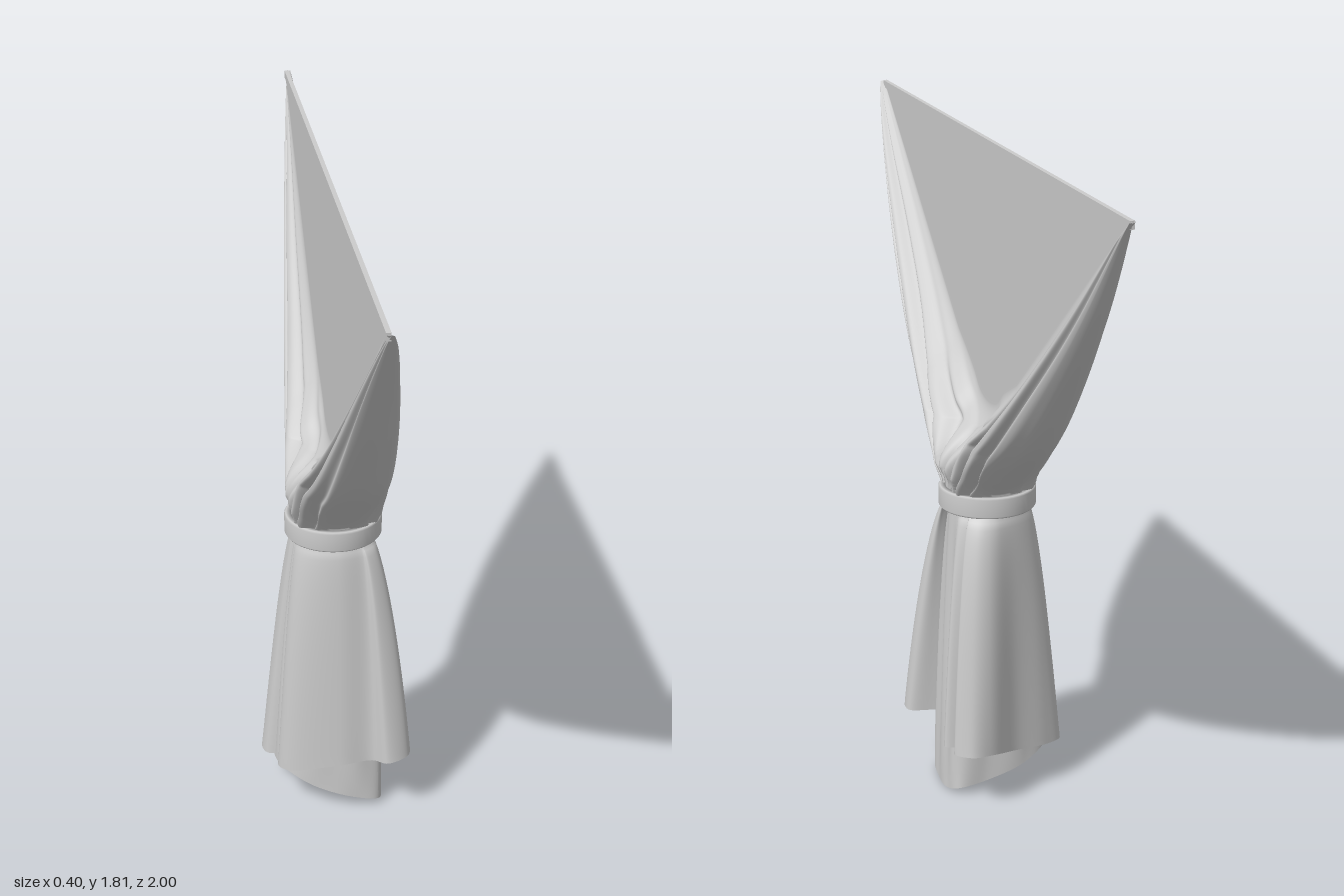
import * as THREE from 'three';

const V = (x, y, z) => new THREE.Vector3(x, y, z);
const { lerp, smoothstep, clamp } = THREE.MathUtils;
const cloth = new THREE.MeshStandardMaterial({ color: 0xcccccc, side: THREE.DoubleSide });
const TOP = 1.81;

// Smooth sheet from a grid: point(u, v) gives the position at column u, row v
function sheet(name, cols, rows, point) {
  const pos = [], index = [];
  for (let i = 0; i <= cols; i++) {
    for (let j = 0; j <= rows; j++) {
      pos.push(...point(i / cols, j / rows));
      if (i < cols && j < rows) {
        const a = i * (rows + 1) + j, b = a + rows + 1;
        index.push(a, b, a + 1, b, b + 1, a + 1);
      }
    }
  }
  const geo = new THREE.BufferGeometry();
  geo.setAttribute('position', new THREE.Float32BufferAttribute(pos, 3));
  geo.setIndex(index);
  geo.computeVertexNormals();
  const mesh = new THREE.Mesh(geo, cloth);
  mesh.name = name;
  return mesh;
}

// Upper curtain: flat panel in the middle, gathered folds along the swept lower edge
function upperCurtain() {
  const edge = new THREE.CatmullRomCurve3([
    [-1, 1.805], [-0.8, 1.525], [-0.6, 1.29], [-0.4, 1.09], [-0.2, 0.945], [-0.125, 0.89], [-0.07, 0.83], [0, 0.81],
    [0.07, 0.83], [0.125, 0.89], [0.2, 0.955], [0.4, 1.115], [0.6, 1.325], [0.8, 1.56], [1, 1.805],
  ].map(([z, y]) => V(0, y, z)));
  const outline = edge.getPoints(400);
  const arms = [outline.slice(0, 201).reverse(), outline.slice(200)];
  // half width of the outline at height y, on the side of z
  function halfWidth(y, z) {
    const arm = arms[z < 0 ? 0 : 1];
    const i = arm.findIndex(p => p.y > y);
    if (i < 1) return i < 0 ? 1 : 0.01;
    const a = arm[i - 1], b = arm[i];
    return Math.abs(lerp(a.z, b.z, (y - a.y) / (b.y - a.y)));
  }

  return sheet('gatheredCurtain', 180, 220, (u, v) => {
    const p = edge.getPoint(u), z = p.z, az = Math.abs(z), H = TOP - p.y;
    const k = v * 2 - 1, side = Math.sign(k), r = Math.abs(k);
    // folds fill the band between the outline and a straight V, the panel is above
    const w = clamp(1.04 + 0.78 * az - p.y, 0.3 * H, 0.6 * H);
    const q = r < 0.85 ? (r / 0.85) ** 1.4 : 1;
    const y = p.y + (r < 0.85 ? q * w : w + (H - w) * (r - 0.85) / 0.15);
    const T = 0.125 * Math.max(0, 1 - az) ** 0.82 * (side > 0 && z > 0 ? 1 + 0.5 * z : 1);
    const rise = Math.sqrt(1 - (1 - Math.min(1, q / 0.3)) ** 2);
    const fall = 1 - smoothstep(q, 0.4, 1);
    // pleats sweep along the edge and turn down into the tie
    const inner = Math.max(0, (y - 1.04) / 0.78), outer = halfWidth(y, z);
    const s = clamp((outer - az) / Math.max(0.01, outer - inner), 0, 1);
    const phase = s * 4 + 0.12 * Math.sin(z * 6 + side) * Math.min(1, az * 5) + (side > 0 ? 0 : 0.4);
    const calm = 1 - 0.8 * smoothstep(s, 0.6, 0.85) * smoothstep(az, 0.1, 0.3);
    const pleat = 1 - 0.3 * Math.cos(Math.PI * phase) ** 4 * Math.min(1, s * 6) * calm;
    // the gather is squeezed inside the tie
    const squeeze = lerp(0.108, 0.135, smoothstep(y, 0.88, 0.97));
    const x = Math.min(squeeze, T * rise * fall * pleat);
    const zz = y < 0.885 ? clamp(z, -0.11, 0.11) : z;
    return [-0.008 * (1 - fall) + side * (0.004 * Math.min(1, q * 8) + x), y, zz];
  });
}

// Hanging cloth: flares from the tie down to a hem given by [x, z, y] points
function tail(name, hem, closed, neck, ripple) {
  const curve = new THREE.CatmullRomCurve3(hem.map(([x, z, y]) => V(x, y, z)), closed, 'centripetal');
  return sheet(name, 160, 40, (u, t) => {
    const b = curve.getPoint(u), angle = Math.atan2(b.z, b.x), R = Math.hypot(b.x, b.z);
    const top = neck * (0.8 + 0.2 * Math.min(1, R / 0.18));
    // stays narrow inside the tie, then flares; front and back folds flare sooner
    const drop = Math.max(0, (t - 0.05) / 0.95);
    const flare = drop ** lerp(0.8, 0.42, Math.abs(Math.sin(angle)));
    const wave = 1 + ripple * Math.sin(u * Math.PI * 18) * Math.sin(Math.PI * t) ** 0.7;
    const radius = lerp(top, R, flare) * wave;
    return [radius * Math.cos(angle), lerp(0.86, b.y, t), radius * Math.sin(angle)];
  });
}

// Tie band: short ring with thickness
function tieBand() {
  const profile = [[0.114, 0.82], [0.128, 0.82], [0.132, 0.825], [0.132, 0.873], [0.128, 0.878], [0.114, 0.878], [0.114, 0.82]];
  const mesh = new THREE.Mesh(new THREE.LatheGeometry(profile.map(([r, y]) => new THREE.Vector2(r, y)), 48), cloth);
  mesh.name = 'tieBand';
  return mesh;
}

export function createModel() {
  const group = new THREE.Group();
  group.name = 'tiedCurtain';
  group.add(upperCurtain(), tieBand());

  // Outer folds wrap front, right side and back, open towards +x
  group.add(tail('outerTailFolds', [
    [0.08, 0.085, 0.18], [0.13, 0.09, 0.185], [0.195, 0.11, 0.185], [0.19, 0.165, 0.185], [0.13, 0.19, 0.178],
    [0.09, 0.155, 0.17], [0.0, 0.155, 0.16], [-0.14, 0.115, 0.13], [-0.165, 0.07, 0.125], [-0.12, 0.035, 0.13],
    [-0.19, 0.0, 0.12], [-0.195, -0.06, 0.12], [-0.14, -0.1, 0.125], [-0.04, -0.14, 0.14], [0.05, -0.2, 0.165],
    [0.11, -0.21, 0.17], [0.15, -0.17, 0.17], [0.1, -0.14, 0.17], [0.16, -0.12, 0.17], [0.14, -0.08, 0.17], [0.08, -0.075, 0.17],
  ], false, 0.112, 0.012));

  // Inner fold hangs lowest, with a slanting hem
  group.add(tail('innerTailFold', [
    [0.115, 0.115, 0.015], [0.13, 0.04, 0.002], [0.13, -0.03, 0.002], [0.11, -0.085, 0.02], [0.03, -0.09, 0.035],
    [-0.08, -0.085, 0.07], [-0.16, -0.04, 0.11], [-0.16, 0.04, 0.11], [-0.08, 0.1, 0.07], [0.03, 0.125, 0.035],
  ], true, 0.106, 0.035));

  // Header hem along the top edge
  const header = new THREE.Mesh(new THREE.BoxGeometry(0.012, 0.02, 1.98), cloth);
  header.name = 'headerHem';
  header.position.set(-0.008, TOP - 0.01, 0);
  group.add(header);
  return group;
}
